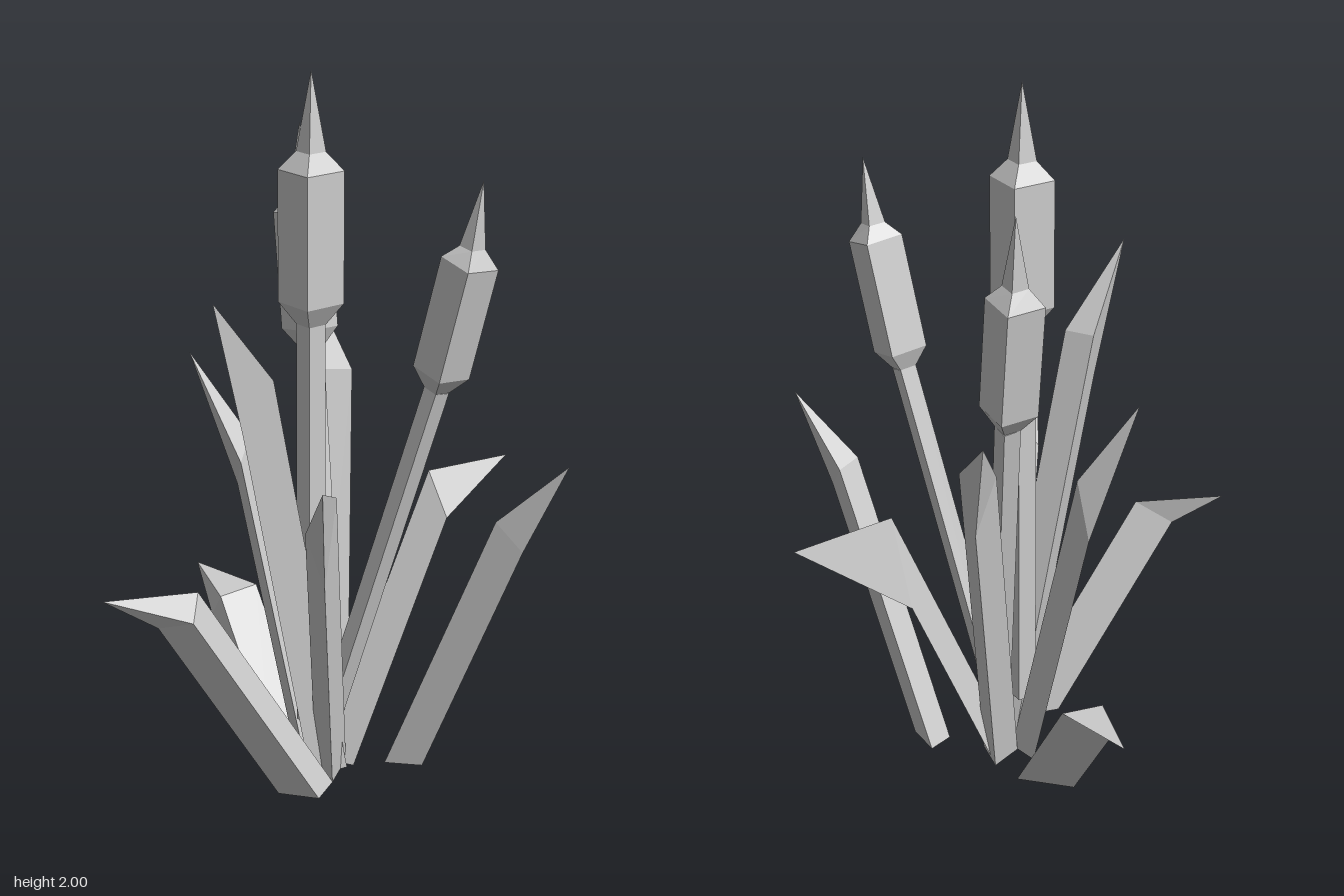
import * as THREE from 'three';

const material = new THREE.MeshStandardMaterial({ color: 0xcccccc, flatShading: true });
const V = (a) => new THREE.Vector3(...a);

// Skin equal rings from bottom to top, closing below with a cap and above with a point
function loft(rings, tip) {
  const pos = [];
  const tri = (...pts) => pts.forEach((p) => pos.push(p.x, p.y, p.z));
  const sides = rings[0].length;
  for (let i = 2; i < sides; i++) tri(rings[0][0], rings[0][i], rings[0][i - 1]);
  rings.forEach((a, r) => {
    const b = rings[r + 1];
    for (let i = 0; i < sides; i++) {
      const j = (i + 1) % sides;
      if (b) {
        tri(a[i], a[j], b[j]);
        tri(a[i], b[j], b[i]);
      } else tri(a[i], a[j], tip);
    }
  });
  const geo = new THREE.BufferGeometry();
  geo.setAttribute('position', new THREE.Float32BufferAttribute(pos, 3));
  geo.computeVertexNormals();
  return new THREE.Mesh(geo, material);
}

// Square ring around a point, square to the given direction
function squareRing(center, dir, half) {
  const q = new THREE.Quaternion().setFromUnitVectors(new THREE.Vector3(0, 1, 0), dir);
  return [[1, 1], [1, -1], [-1, -1], [-1, 1]].map(([x, z]) =>
    new THREE.Vector3(x * half, 0, z * half).applyQuaternion(q).add(center));
}

// Reed: thin square stem, thick seed head and a pointed spike
function reed({ base, low, high, tip, size }) {
  const [b, l, h, t] = [base, low, high, tip].map(V);
  const head = h.clone().sub(l).normalize();
  const stemDir = l.clone().sub(b).normalize();
  const spikeDir = t.clone().sub(h).normalize();
  const neck = l.clone().addScaledVector(head, -0.06 * size);
  const crown = h.clone().addScaledVector(spikeDir, 0.05 * size);
  const thin = 0.028 * size;
  const thick = 0.0625 * size;
  const stem = loft([squareRing(b, stemDir, thin), squareRing(neck, stemDir, thin)], neck);
  stem.name = 'stem';
  const seedHead = loft([
    squareRing(neck, head, thin),
    squareRing(l, head, thick),
    squareRing(h, head, thick),
    squareRing(crown, spikeDir, thin),
  ], t);
  seedHead.name = 'seedHead';
  return new THREE.Group().add(stem, seedHead);
}

// Leaf: three-sided blade cut flat at the ground, bending at its shoulders into a long point
function leaf({ base, shoulders, tip }) {
  let ring = shoulders.map(V);
  const mid = ring.reduce((s, p) => s.add(p), new THREE.Vector3()).divideScalar(3);
  const axis = mid.clone().sub(new THREE.Vector3(base[0], 0, base[1]));
  const [a, b, c] = ring;
  if (b.clone().sub(a).cross(c.clone().sub(a)).dot(axis) < 0) ring = [a, c, b];
  const foot = ring.map((p) => p.clone().addScaledVector(axis, -p.y / axis.y));
  return loft([foot, ring], V(tip));
}

const REEDS = {
  middleReed: { size: 1, base: [0.05, 0.15, 0.025], low: [0.05, 1.375, 0.025], high: [0.05, 1.735, 0.025], tip: [0.05, 2, 0.025] },
  rightReed: { size: 0.9, base: [0.015, 0.15, -0.08], low: [-0.203, 1.21, -0.175], high: [-0.252, 1.535, -0.185], tip: [-0.28, 1.78, -0.2] },
  leftReed: { size: 0.87, base: [0.04, 0.15, -0.06], low: [0.317, 1.2, -0.205], high: [0.387, 1.51, -0.235], tip: [0.417, 1.735, -0.25] },
};

const LEAVES = {
  backLeaf: { base: [0.05, -0.07], shoulders: [[0.09, 0.82, -0.37], [0.17, 0.7, -0.37], [0.04, 0.55, -0.34]], tip: [0.09, 0.8, -0.67] },
  backLeftLeaf: { base: [0.18, -0.205], shoulders: [[0.485, 0.81, -0.26], [0.455, 0.8, -0.335], [0.53, 0.72, -0.32]], tip: [0.64, 0.985, -0.375] },
  frontLeftLeaf: { base: [0.1, -0.01], shoulders: [[0.3, 0.92, 0.14], [0.255, 0.82, 0.21], [0.325, 0.68, 0.2]], tip: [0.505, 1.04, 0.355] },
  frontLowLeaf: { base: [0.165, 0.12], shoulders: [[0.075, 0.655, 0.43], [0.135, 0.6, 0.49], [0.045, 0.57, 0.54]], tip: [-0.03, 0.655, 0.665] },
  frontTallLeaf: { base: [0.085, 0], shoulders: [[0.068, 1.22, 0.27], [0.143, 1.22, 0.225], [0.12, 1.08, 0.31]], tip: [0.13, 1.46, 0.41] },
  frontRightLeaf: { base: [0, 0], shoulders: [[-0.25, 0.78, 0.05], [-0.16, 0.88, 0.105], [-0.19, 0.94, 0.05]], tip: [-0.305, 1.18, 0.17] },
  backRightLeaf: { base: [0.01, -0.08], shoulders: [[-0.19, 1.06, -0.32], [-0.255, 1.06, -0.245], [-0.255, 0.9, -0.31]], tip: [-0.355, 1.205, -0.345] },
  sideRightLeaf: { base: [-0.175, -0.025], shoulders: [[-0.4, 0.375, -0.13], [-0.41, 0.365, -0.005], [-0.46, 0.29, -0.01]], tip: [-0.64, 0.38, -0.09] },
};

export function createModel() {
  const model = new THREE.Group();
  model.name = 'reedClump';
  for (const [set, build] of [[REEDS, reed], [LEAVES, leaf]]) {
    for (const [name, spec] of Object.entries(set)) {
      const part = build(spec);
      part.name = name;
      model.add(part);
    }
  }
  return model;
}
